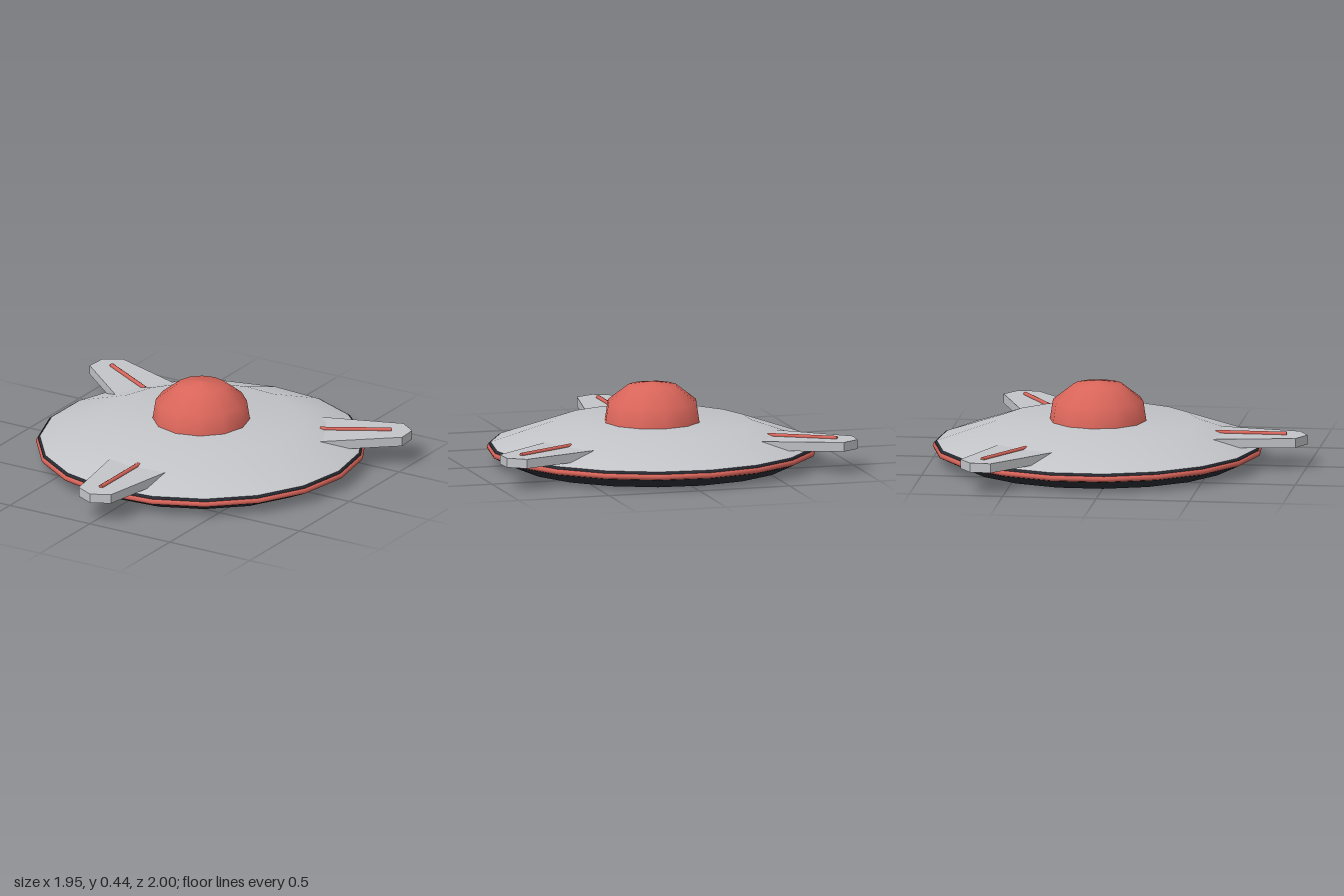
import * as THREE from 'three';

const SIDES = 19;

export function createModel() {
  const mat = (name, color) => new THREE.MeshStandardMaterial({ name, color });
  const grey = mat('hullGrey', 0xc3c5c9);
  const dark = mat('darkTrim', 0x2a2d35);
  const red = mat('coralRed', 0xd9655a);

  const model = new THREE.Group();
  model.name = 'saucer';
  const craft = new THREE.Group();
  craft.name = 'craft';
  craft.position.z = -0.12;
  model.add(craft);

  const add = (parent, name, geometry, material) => {
    const mesh = new THREE.Mesh(geometry, material);
    mesh.name = name;
    parent.add(mesh);
    return mesh;
  };
  // Turned profile, listed from bottom to top
  const lathe = (points, sides, start) =>
    new THREE.LatheGeometry(points.map(([r, y]) => new THREE.Vector2(r, y)), sides, start);

  // Saucer body
  add(craft, 'upperHull', lathe([[0.86, 0.102], [0.53, 0.218], [0, 0.232]], SIDES, Math.PI / 2), grey);
  add(craft, 'lowerHull', lathe([[0.74, 0], [0.865, 0.06]], SIDES, Math.PI / 2), dark);
  add(craft, 'rimBand', lathe([[0.865, 0.06], [0.87, 0.097], [0.858, 0.104]], SIDES, Math.PI / 2), dark);
  add(craft, 'bottomPlate', new THREE.CircleGeometry(0.74, SIDES).rotateX(Math.PI / 2), grey);
  const stripe = new THREE.TorusGeometry(0.863, 0.017, 8, SIDES).rotateX(Math.PI / 2);
  add(craft, 'rimStripe', stripe, red).position.y = 0.077;

  // Cockpit dome
  add(craft, 'dome', lathe([[0.26, 0.215], [0.242, 0.33], [0.132, 0.416], [0, 0.438]], 12, 0), red);

  // Three tapered fins, each with a rod on top
  const outline = new THREE.Shape([
    [-0.21, 0.45], [0.21, 0.45], [0.1, 1.07], [0, 1.12], [-0.1, 1.07],
  ].map(([x, z]) => new THREE.Vector2(x, z)));
  const finGeometry = new THREE.ExtrudeGeometry(outline, { depth: 0.05, bevelEnabled: false })
    .rotateX(Math.PI / 2).translate(0, 0.17, 0);
  const rodGeometry = new THREE.CylinderGeometry(0.012, 0.012, 0.38, 8)
    .rotateX(Math.PI / 2).translate(0, 0.173, 0.82);
  for (let i = 0; i < 3; i++) {
    const fin = new THREE.Group();
    fin.name = 'finAssembly' + (i + 1);
    fin.rotation.y = (i * Math.PI * 2) / 3;
    add(fin, 'fin', finGeometry, grey);
    add(fin, 'finRod', rodGeometry, red);
    craft.add(fin);
  }
  return model;
}
